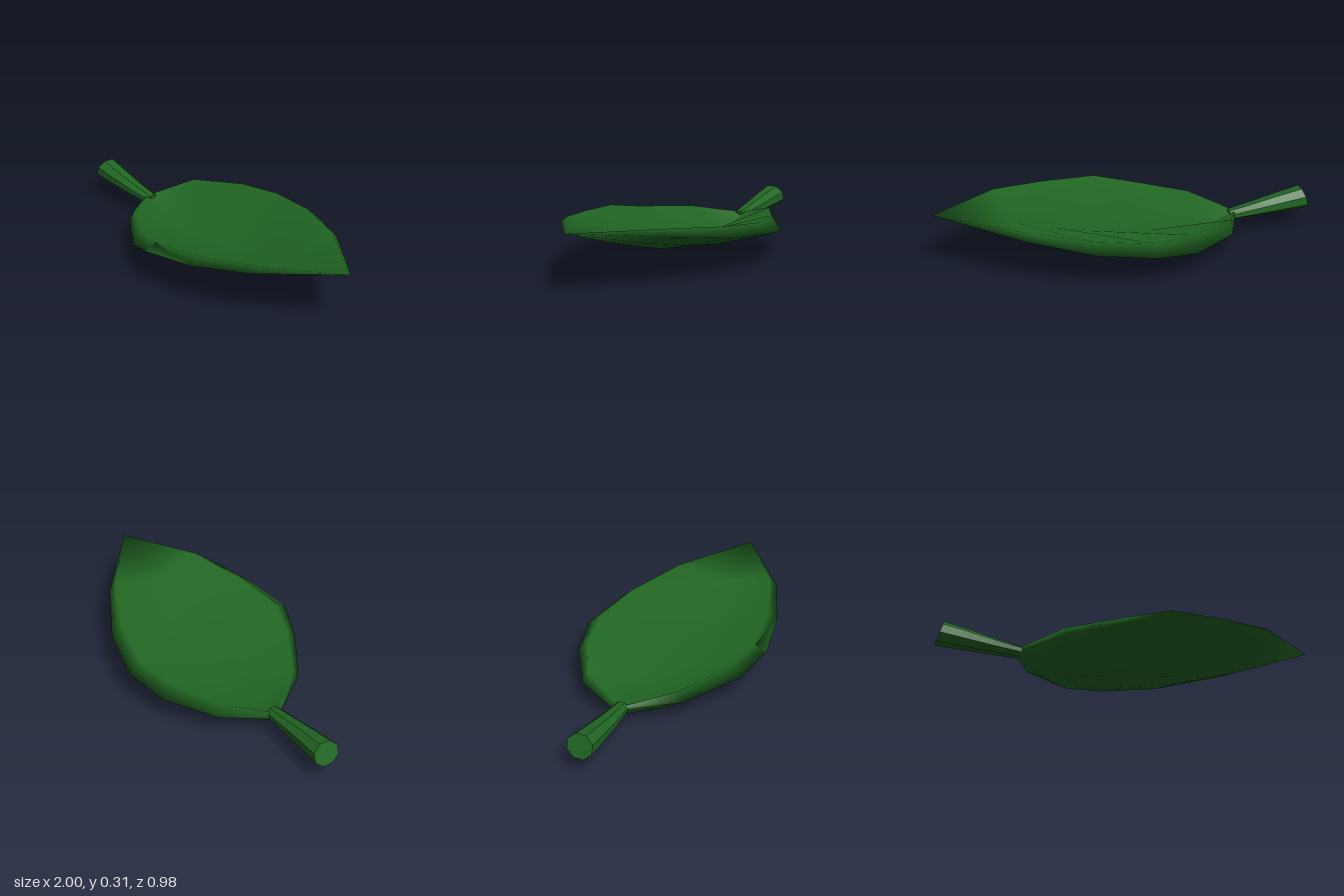
import * as THREE from 'three';

// Skins a list of equal-length rings (running along +x) and closes both ends to a point.
function loft(rings, start, end) {
  const n = rings[0].length;
  const points = [...rings.flat(), start, end];
  const s = points.length - 2, e = points.length - 1;
  const last = (rings.length - 1) * n;
  const index = [];
  for (let j = 0; j < n; j++) {
    const k = (j + 1) % n;
    for (let i = 0; i < rings.length - 1; i++) {
      const a = i * n + j, b = i * n + k;
      index.push(a, a + n, b, b, a + n, b + n);
    }
    index.push(s, j, k, e, last + k, last + j);
  }
  const geometry = new THREE.BufferGeometry();
  geometry.setAttribute('position', new THREE.Float32BufferAttribute(points.flat(), 3));
  geometry.setIndex(index);
  return geometry;
}

// Point halfway between two others, shifted down by drop
const between = (a, b, drop) =>
  [(a[0] + b[0]) / 2, (a[1] + b[1]) / 2 - drop, (a[2] + b[2]) / 2];

// Blade cross-section: a folded sheet with raised lips, a trough above and a keel below.
function bladeRing([front, frontTop, back, backTop, keel]) {
  const frontLip = [front[0], frontTop, front[2] * 0.87];
  const backLip = [back[0], backTop, back[2] * 0.87];
  const trough = [keel[0], keel[1] + 0.038, keel[2]];
  return [
    front, frontLip, trough, backLip, back,
    between(back, keel, 0.014), keel, between(front, keel, 0.014),
  ];
}

export function createModel() {
  const group = new THREE.Group();
  group.name = 'leaf';
  const green = new THREE.MeshStandardMaterial({ color: 0x216623 });
  green.name = 'leaf green';

  // Blade: front rim, its lip height, back rim, its lip height, keel
  const sections = [
    [[-0.575, 0.105, 0.037], 0.125, [-0.575, 0.105, -0.035], 0.13, [-0.58, 0.08, 0]],
    [[-0.4, 0.115, 0.26], 0.165, [-0.48, 0.125, -0.26], 0.19, [-0.4, 0, 0.02]],
    [[-0.12, 0.14, 0.43], 0.195, [-0.23, 0.135, -0.43], 0.21, [-0.12, 0.03, 0.015]],
    [[0.07, 0.2, 0.49], 0.23, [-0.01, 0.17, -0.49], 0.22, [0.2, 0.072, 0.01]],
    [[0.37, 0.225, 0.43], 0.257, [0.28, 0.2, -0.44], 0.25, [0.4, 0.122, 0.01]],
    [[0.65, 0.265, 0.31], 0.292, [0.6, 0.25, -0.29], 0.285, [0.63, 0.19, 0.01]],
  ];
  const bladeGeometry = loft(sections.map(bladeRing), [-0.58, 0.105, 0], [1, 0.308, 0.01]);
  bladeGeometry.computeVertexNormals();
  const blade = new THREE.Mesh(bladeGeometry, green);
  blade.name = 'blade';
  group.add(blade);

  // Stem: faceted, flaring toward its cut end; rows are x, y, z, half height, half width
  const rows = [
    [-0.983, 0.15, 0.015, 0.058, 0.065],
    [-0.85, 0.134, 0.014, 0.049, 0.056],
    [-0.71, 0.118, 0.01, 0.038, 0.046],
    [-0.56, 0.105, 0.002, 0.026, 0.036],
  ];
  const sides = 8;
  const stemRings = rows.map(([x, y, z, h, w]) =>
    Array.from({ length: sides }, (_, j) => {
      const a = ((j + 0.5) / sides) * Math.PI * 2;
      const up = (Math.sin(a) * h) / Math.cos(Math.PI / sides);
      return [x + up * 0.3, y + up * 0.95, z + (Math.cos(a) * w) / Math.cos(Math.PI / sides)];
    }));
  const stemGeometry = loft(stemRings, rows[0].slice(0, 3), rows[3].slice(0, 3)).toNonIndexed();
  stemGeometry.computeVertexNormals();
  const stem = new THREE.Mesh(stemGeometry, green);
  stem.name = 'stem';
  group.add(stem);

  return group;
}
